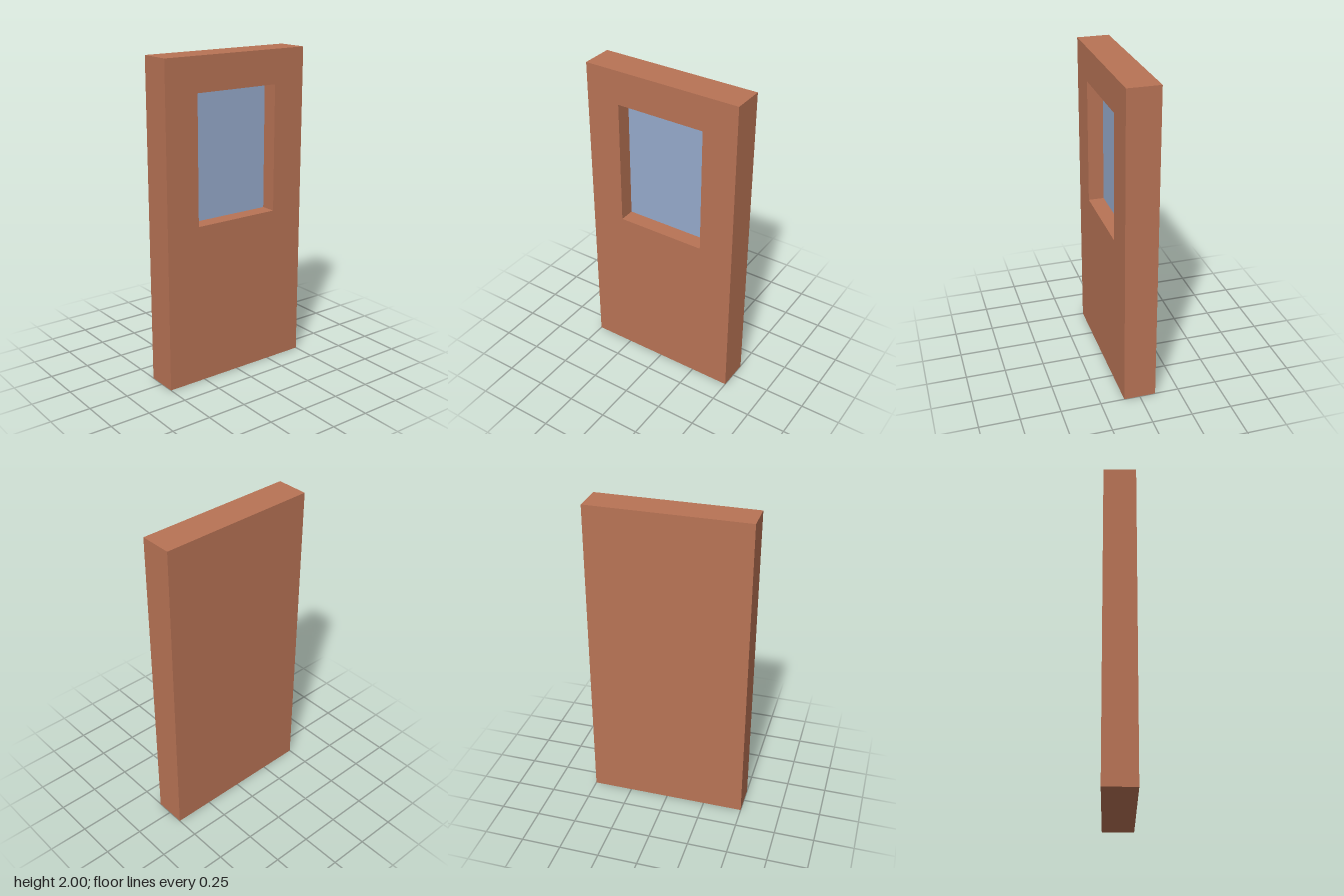
import * as THREE from 'three';

const WIDTH = 1, HEIGHT = 2, DEPTH = 0.2;
const WIN = { x: 0.283, y0: 1.0, y1: 1.79, z: 0 }; // window recess, floor at z

function rect(target, x0, y0, x1, y1) {
  target.moveTo(x0, y0);
  target.lineTo(x1, y0);
  target.lineTo(x1, y1);
  target.lineTo(x0, y1);
  target.closePath();
  return target;
}

export function createModel() {
  const group = new THREE.Group();
  group.name = 'door';
  const wood = new THREE.MeshStandardMaterial({ color: 0xb87355 });
  wood.name = 'terracotta';
  const glass = new THREE.MeshStandardMaterial({ color: 0x96aacb });
  glass.name = 'pale blue';

  // Door leaf: a front half with the window opening and a solid back half
  const half = DEPTH / 2;
  const addHalf = (name, z, hole) => {
    const shape = rect(new THREE.Shape(), -WIDTH / 2, 0, WIDTH / 2, HEIGHT);
    if (hole) shape.holes.push(hole);
    const geo = new THREE.ExtrudeGeometry(shape, { depth: half, bevelEnabled: false });
    const mesh = new THREE.Mesh(geo, wood);
    mesh.name = name;
    mesh.position.z = z;
    group.add(mesh);
  };
  addHalf('frontLeaf', WIN.z, rect(new THREE.Path(), -WIN.x, WIN.y0, WIN.x, WIN.y1));
  addHalf('backLeaf', -half);

  // Window pane: thin plate on the floor of the recess
  const pane = new THREE.Mesh(
    new THREE.BoxGeometry(WIN.x * 2, WIN.y1 - WIN.y0, 0.004), glass);
  pane.name = 'windowPane';
  pane.position.set(0, (WIN.y0 + WIN.y1) / 2, WIN.z);
  group.add(pane);

  return group;
}
